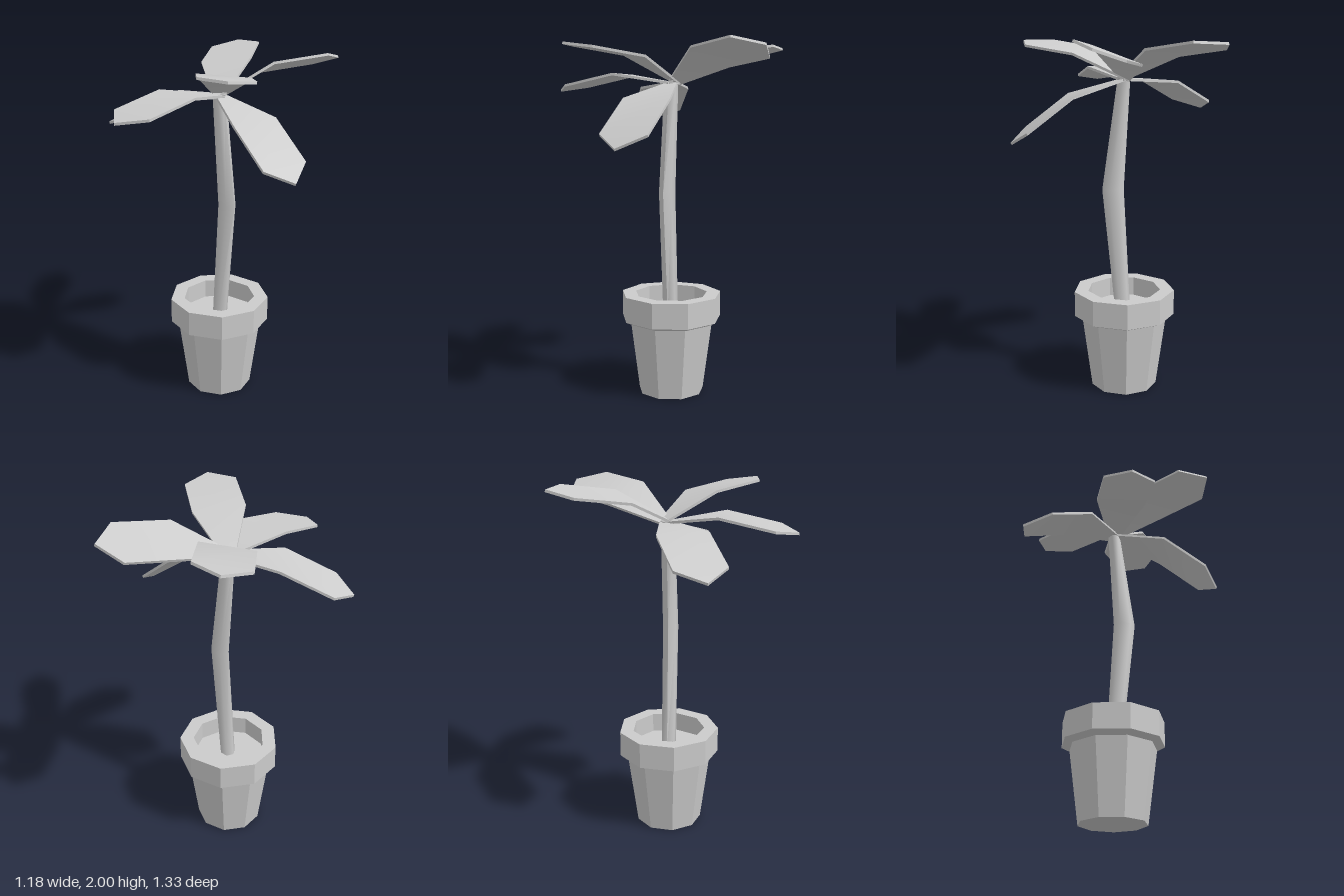
import * as THREE from 'three';
import { toCreasedNormals } from 'three/addons/utils/BufferGeometryUtils.js';

const CX = -0.035, CZ = -0.035; // axis of the pot
const deg = THREE.MathUtils.degToRad;
const smooth = () => new THREE.MeshStandardMaterial({ color: 0xcccccc });
const faceted = () => new THREE.MeshStandardMaterial({ color: 0xcccccc, flatShading: true });

function addMesh(parent, name, geometry, material) {
  const mesh = new THREE.Mesh(geometry, material);
  mesh.name = name;
  parent.add(mesh);
  return mesh;
}

// Tapered nine-sided pot with a thick rim and a hollow top
function createPot() {
  const pot = new THREE.Group();
  pot.name = 'pot';
  pot.position.set(CX, 0, CZ);
  const profile = [[0, 0], [0.19, 0], [0.245, 0.415], [0.29, 0.435], [0.29, 0.58], [0.21, 0.58], [0.21, 0.46]]
    .map(([r, y]) => new THREE.Vector2(r, y));
  addMesh(pot, 'potShell', new THREE.LatheGeometry(profile, 9, Math.PI / 2), faceted());
  const soil = addMesh(pot, 'soil', new THREE.CircleGeometry(0.21, 9), faceted());
  soil.rotation.x = -Math.PI / 2;
  soil.position.y = 0.47;
  return pot;
}

// Kinked trunk: rings of a cylinder moved to three oval sections
function createTrunk() {
  const sections = [ // y, centre x, half width x, half width z
    [0.46, -0.027, 0.045, 0.043],
    [1.17, 0.029, 0.062, 0.043],
    [1.785, -0.033, 0.036, 0.04],
  ];
  const geometry = new THREE.CylinderGeometry(1, 1, 1, 6, 2, false, Math.PI / 2);
  const p = geometry.attributes.position;
  for (let i = 0; i < p.count; i++) {
    const [y, cx, rx, rz] = sections[Math.round((p.getY(i) + 0.5) * 2)];
    p.setXYZ(i, cx + p.getX(i) * rx, y, CZ + p.getZ(i) * rz);
  }
  return toCreasedNormals(geometry, deg(65));
}

// One thin leaf along +z: narrow base, broad middle, pointed tip, bent downwards
function createLeafGeometry() {
  const rows = [ // z, y, half width
    [0, 0, 0.03], [0.305, 0.05, 0.143], [0.603, -0.01, 0.143], [0.71, -0.035, 0],
  ];
  const geometry = new THREE.BoxGeometry(2, 0.014, 1, 1, 1, 3);
  const p = geometry.attributes.position;
  for (let i = 0; i < p.count; i++) {
    const [z, y, w] = rows[Math.round((p.getZ(i) + 0.5) * 3)];
    p.setXYZ(i, p.getX(i) * w, y + p.getY(i), z);
  }
  return toCreasedNormals(geometry, deg(35));
}

function createCrown() {
  const crown = new THREE.Group();
  crown.name = 'crown';
  crown.position.set(CX, 1.778, -0.04);
  const geometry = createLeafGeometry();
  const leaves = [ // name, yaw, upward pitch, roll (degrees), setback of the base
    ['frontLeaf', 0, 0, 0, 0],
    ['frontLeftLeaf', 50, 19, -5, 0.035],
    ['leftLeaf', 84, -26, 0, 0],
    ['backLeftLeaf', 154.5, 17, -20, 0],
    ['backRightLeaf', 217, 19, -8, 0.025],
    ['frontRightLeaf', -59, -13, 0, 0.03],
  ];
  for (const [name, yaw, pitch, roll, setback] of leaves) {
    const leaf = addMesh(crown, name, geometry, smooth());
    leaf.rotation.set(deg(-pitch), deg(yaw), deg(roll), 'YXZ');
    leaf.position.set(-Math.sin(deg(yaw)) * setback, 0, -Math.cos(deg(yaw)) * setback);
  }
  return crown;
}

export function createModel() {
  const model = new THREE.Group();
  model.name = 'pottedPalm';
  model.add(createPot());
  addMesh(model, 'trunk', createTrunk(), smooth());
  model.add(createCrown());
  return model;
}
